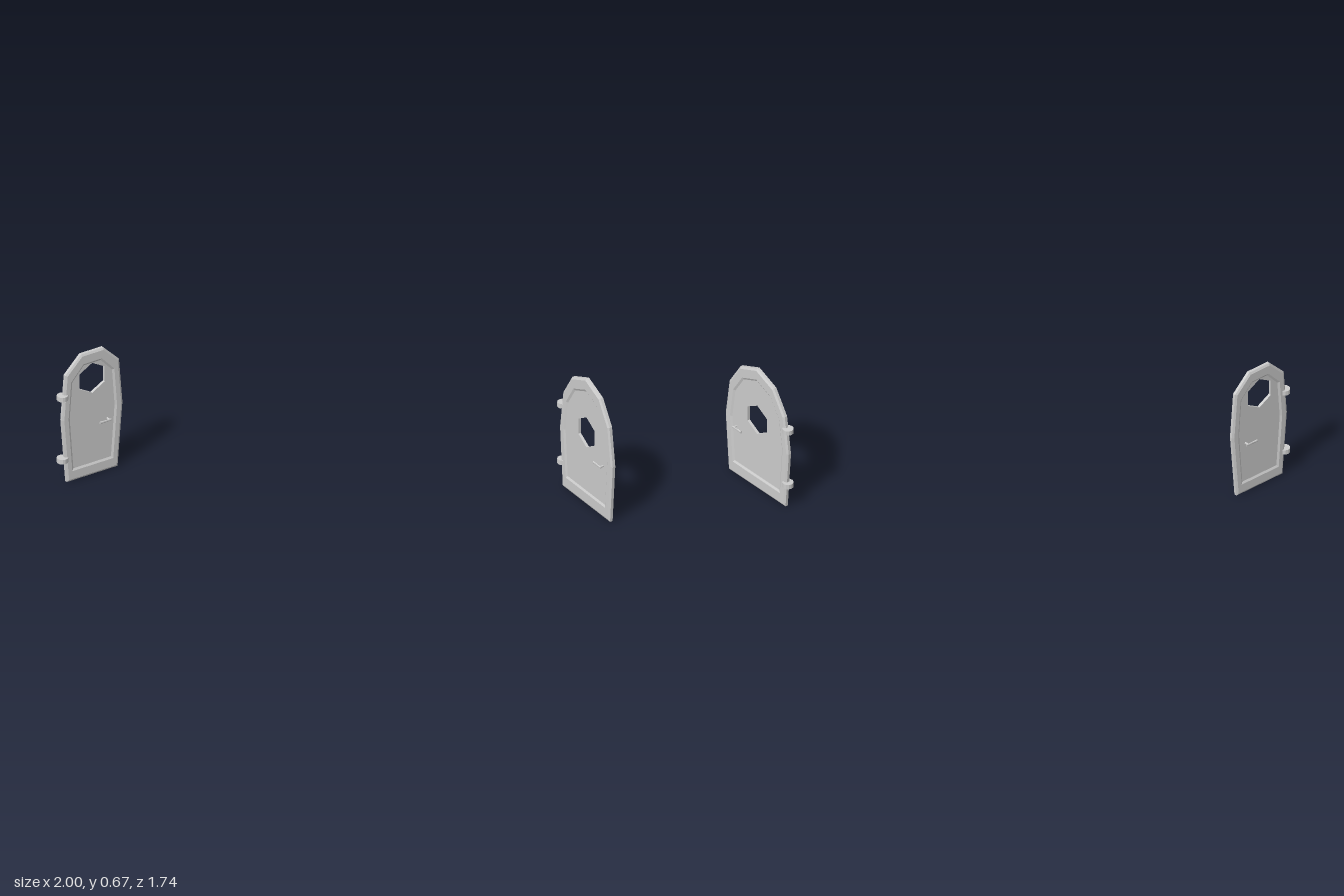
import * as THREE from 'three';

const mat = new THREE.MeshStandardMaterial({ color: 0xcccccc, flatShading: true });

function part(name, geometry, parent, x = 0, y = 0, z = 0) {
  const mesh = new THREE.Mesh(geometry, mat);
  mesh.name = name;
  mesh.position.set(x, y, z);
  parent.add(mesh);
  return mesh;
}

// Mirrors the right half of an outline (bottom to top) into a closed loop
function mirrored(half) {
  const left = half.filter(([x]) => x > 0).reverse().map(([x, y]) => [-x, y]);
  return [...half, ...left].map(([x, y]) => new THREE.Vector2(x, y));
}

// One door in its own plane: x towards the handle, hinges on -x
function makeDoor(name, { half, panelScale, windowY, handleX, hingeX, hingeYs }) {
  const door = new THREE.Group();
  door.name = name;
  const T = 0.026, step = 0.006, midY = half[half.length - 1][1] / 2;
  const outline = mirrored(half);
  const inner = outline.map(p => new THREE.Vector2(p.x * panelScale[0], midY + (p.y - midY) * panelScale[1]));

  // Raised border, chamfered on the outside and sloping down to the panel
  const frame = new THREE.Shape(outline);
  frame.holes.push(new THREE.Path(inner));
  const frameGeo = new THREE.ExtrudeGeometry(frame, {
    depth: T - 2 * step, bevelEnabled: true, bevelSegments: 1,
    bevelThickness: step, bevelSize: 0.01, bevelOffset: -0.01,
  });
  part('frame', frameGeo, door, 0, 0, -T / 2 + step);

  // Recessed panel with a hexagonal window
  const panel = new THREE.Shape(inner);
  const hex = [];
  for (let i = 0; i < 6; i++) {
    const a = Math.PI / 2 - i * Math.PI / 3;
    hex.push(new THREE.Vector2(0.08 * Math.cos(a), windowY + 0.08 * Math.sin(a)));
  }
  panel.holes.push(new THREE.Path(hex));
  const panelGeo = new THREE.ExtrudeGeometry(panel, { depth: T - 2 * step, bevelEnabled: false });
  part('panel', panelGeo, door, 0, 0, -T / 2 + step);

  // Hinge barrels
  for (const y of hingeYs) part('hinge', new THREE.CylinderGeometry(0.027, 0.027, 0.024, 12), door, hingeX, y, 0);

  // Handle: spindle through the door and a tapered lever on each face
  const handle = new THREE.Group();
  handle.name = 'handle';
  handle.position.set(handleX, 0.272, 0);
  door.add(handle);
  part('spindle', new THREE.CylinderGeometry(0.005, 0.005, 0.054, 8).rotateX(Math.PI / 2), handle, 0.022);
  for (const side of [-1, 1]) {
    const lever = new THREE.CylinderGeometry(0.007, 0.005, 0.063, 8).rotateZ(Math.PI / 2);
    lever.scale(1, 1, 0.6);
    part('lever', lever, handle, 0, 0, side * 0.027);
  }
  return door;
}

export function createModel() {
  const model = new THREE.Group();
  model.name = 'doorPair';

  // Narrow door with a flat top
  const narrow = makeDoor('narrowDoor', {
    half: [[0.14, 0], [0.167, 0.334], [0.148, 0.57], [0.062, 0.657]],
    panelScale: [0.74, 0.81], windowY: 0.513,
    handleX: 0.062, hingeX: -0.159, hingeYs: [0.455, 0.123],
  });
  narrow.position.set(-0.814, 0, -0.84);

  // Wide door with a pointed top, turned to face the side
  const wide = makeDoor('wideDoor', {
    half: [[0.202, 0], [0.225, 0.303], [0.197, 0.5], [0.12, 0.62], [0, 0.67]],
    panelScale: [0.79, 0.79], windowY: 0.381,
    handleX: 0.123, hingeX: -0.211, hingeYs: [0.43, 0.128],
  });
  wide.position.set(0.966, 0, 0.642);
  wide.rotation.y = -Math.PI / 2;

  model.add(narrow, wide);
  return model;
}
